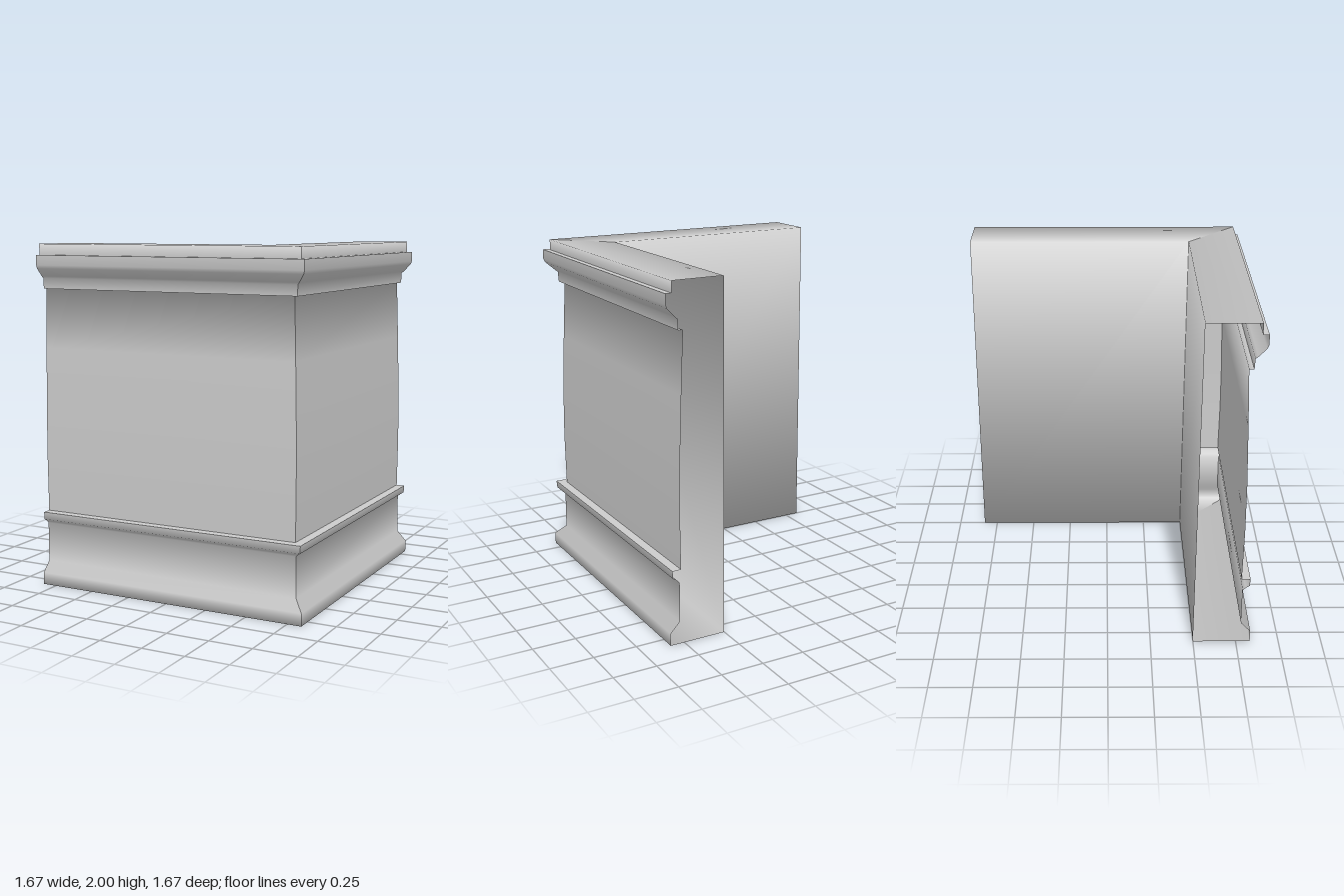
import * as THREE from 'three';

const END = -0.835; // where both arms are cut off

// Profile runs per part, counter-clockwise: [outward distance, height, hard edge?]
const PARTS = {
  base: [[0.833, 0], [0.833, 0.07], [0.776, 0.13], [0.774, 0.36], [0.79, 0.375],
    [0.813, 0.39], [0.816, 0.433, 1]],
  baseLedge: [[0.816, 0.433, 1], [0.765, 0.434, 1]],
  panel: [[0.765, 0.434, 1], [0.768, 0.75], [0.764, 1.05], [0.752, 1.4], [0.738, 1.743]],
  crown: [[0.738, 1.743], [0.765, 1.743, 1], [0.768, 1.803], [0.782, 1.815],
    [0.826, 1.86], [0.834, 1.88], [0.834, 1.937, 1]],
  crownLedge: [[0.834, 1.937, 1], [0.8, 1.937, 1]],
  topCap: [[0.8, 1.937, 1], [0.8, 2], [0.5, 2]],
  backWall: [[0.5, 2], [0.5, 0]],
  bottomPlate: [[0.5, 0], [0.833, 0]],
};

// Closed outline shared by all parts, used to blend normals across soft edges
const outline = Object.values(PARTS).flatMap((run) => run.slice(0, -1));

function segmentNormal(i) {
  const n = outline.length;
  const a = outline[(i + n) % n], b = outline[(i + 1) % n];
  return new THREE.Vector2(b[1] - a[1], a[0] - b[0]).normalize();
}

function cornerNormal(segment, corner) {
  const p = outline[corner % outline.length];
  if (p[2]) return segmentNormal(segment);
  return segmentNormal(corner - 1).add(segmentNormal(corner)).normalize();
}

// Sweeps a run of profile segments along both arms, mitred at the corner
function sweep(first, count) {
  const position = [], normal = [], index = [];
  for (const arm of ['front', 'side']) {
    for (let s = first; s < first + count; s++) {
      const start = position.length / 3;
      for (const corner of [s, s + 1]) {
        const [d, y] = outline[corner % outline.length];
        const n = cornerNormal(s, corner);
        if (arm === 'front') {
          position.push(END, y, d, d, y, d);
          normal.push(0, n.y, n.x, 0, n.y, n.x);
        } else {
          position.push(d, y, d, d, y, END);
          normal.push(n.x, n.y, 0, n.x, n.y, 0);
        }
      }
      index.push(start, start + 1, start + 3, start, start + 3, start + 2);
    }
  }
  const geometry = new THREE.BufferGeometry();
  geometry.setAttribute('position', new THREE.Float32BufferAttribute(position, 3));
  geometry.setAttribute('normal', new THREE.Float32BufferAttribute(normal, 3));
  geometry.setIndex(index);
  return geometry;
}

export function createModel() {
  const group = new THREE.Group();
  group.name = 'cornerMoulding';
  // Hollow shell with open ends
  const material = new THREE.MeshStandardMaterial({ color: 0xcccccc, side: THREE.DoubleSide });
  let first = 0;
  for (const [name, run] of Object.entries(PARTS)) {
    const mesh = new THREE.Mesh(sweep(first, run.length - 1), material);
    mesh.name = name;
    group.add(mesh);
    first += run.length - 1;
  }
  return group;
}
